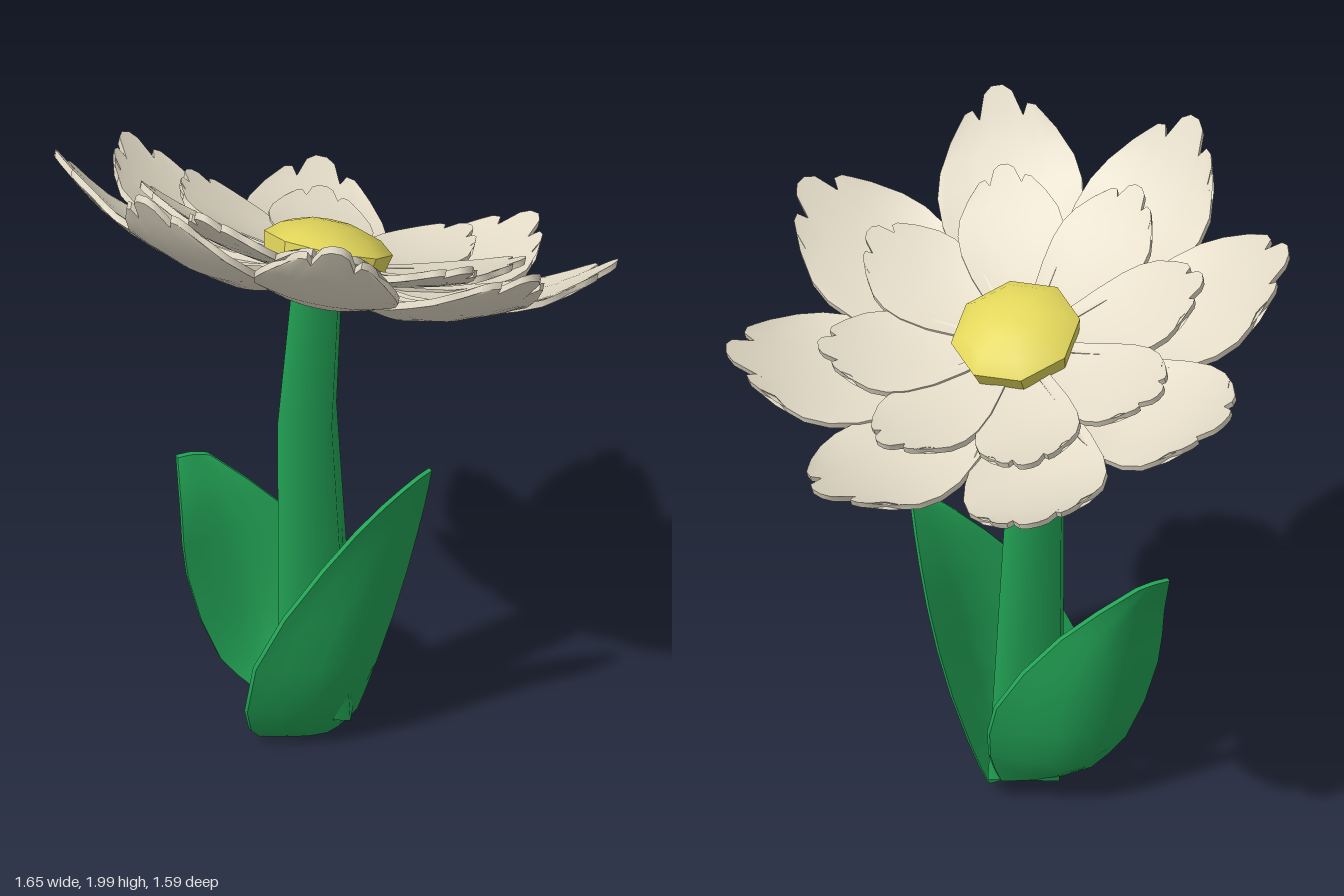
import * as THREE from 'three';
import { toCreasedNormals } from 'three/addons/utils/BufferGeometryUtils.js';

const petalMat = new THREE.MeshStandardMaterial({ color: 0xe3dbc7 });
petalMat.name = 'cream petal';
const yellowMat = new THREE.MeshStandardMaterial({ color: 0xe2d65a });
yellowMat.name = 'yellow centre';
const greenMat = new THREE.MeshStandardMaterial({ color: 0x22a355 });
greenMat.name = 'leaf green';

// Closed thin slab: a grid of face points plus the same grid moved back by an offset
function slab(grid, offset) {
  const rows = grid.length, cols = grid[0].length, n = rows * cols;
  const face = grid.flat();
  const pos = [...face, ...face.map(p => p.clone().add(offset))].flatMap(p => [p.x, p.y, p.z]);
  const id = (i, j) => i * cols + j;
  const index = [];
  for (let i = 0; i < rows - 1; i++) {
    for (let j = 0; j < cols - 1; j++) {
      const a = id(i, j), b = id(i, j + 1), c = id(i + 1, j), d = id(i + 1, j + 1);
      index.push(a, b, d, a, d, c, a + n, d + n, b + n, a + n, c + n, d + n);
    }
  }
  // rim around the boundary
  const rim = [];
  for (let j = 0; j < cols - 1; j++) rim.push(id(0, j));
  for (let i = 0; i < rows - 1; i++) rim.push(id(i, cols - 1));
  for (let j = cols - 1; j > 0; j--) rim.push(id(rows - 1, j));
  for (let i = rows - 1; i > 0; i--) rim.push(id(i, 0));
  rim.forEach((p, k) => {
    const q = rim[(k + 1) % rim.length];
    index.push(p, p + n, q + n, p, q + n, q);
  });
  const g = new THREE.BufferGeometry();
  g.setAttribute('position', new THREE.Float32BufferAttribute(pos, 3));
  g.setIndex(index);
  return toCreasedNormals(g, 0.8);
}

// Petal along +x with a scalloped tip; profile(t) gives its height
const ROW_T = [0, 0.15, 0.3, 0.45, 0.6, 0.72, 0.84, 0.93, 1];
const ROW_W = [0.03, 0.075, 0.125, 0.175, 0.208, 0.215, 0.2, 0.175, 0.14];
const COL_V = [-1, -0.9, -0.75, -0.58, -0.46, -0.3, -0.12, 0.12, 0.3, 0.46, 0.58, 0.75, 0.9, 1];
const COL_L = [0.85, 0.9, 0.93, 0.94, 0.91, 0.98, 1, 1, 0.98, 0.91, 0.94, 0.93, 0.9, 0.85];

function petalGeometry(length, widthScale, cup, profile) {
  const grid = ROW_T.map((t, i) => COL_V.map((v, j) => {
    const s = t - t ** 4 * (1 - COL_L[j]);
    const y = profile(s) + cup * v * v * Math.sin(Math.PI * Math.min(t, 0.85));
    return new THREE.Vector3(length * s, y, ROW_W[i] * widthScale * v);
  }));
  return slab(grid, new THREE.Vector3(0, -0.022, 0));
}

// Leaf from rows of [left edge, middle, right edge], curved across
function leafGeometry(rows, offset) {
  const curves = [0, 1, 2].map(k =>
    new THREE.CatmullRomCurve3(rows.map(r => new THREE.Vector3(...r[k]))));
  const grid = [];
  for (let i = 0; i <= 8; i++) {
    const [l, m, r] = curves.map(c => c.getPoint(i / 8));
    const across = new THREE.CatmullRomCurve3([l, m, r]);
    grid.push(across.getPoints(6));
  }
  return slab(grid, new THREE.Vector3(...offset));
}

function add(parent, name, geometry, material) {
  const mesh = new THREE.Mesh(geometry, material);
  mesh.name = name;
  parent.add(mesh);
  return mesh;
}

export function createModel() {
  const model = new THREE.Group();
  model.name = 'flower';

  // Stem: smooth-shaded square tube through [x, y, z, half side] rings, top to bottom
  const rings = [[-0.05, 1.54, 0.1, 0.068], [-0.08, 1.06, 0.137, 0.08], [-0.052, 0.08, 0.095, 0.105]];
  const stem = new THREE.CylinderGeometry(Math.SQRT2, Math.SQRT2, 2, 4, 2, false, Math.PI / 4);
  const sp = stem.attributes.position;
  for (let i = 0; i < sp.count; i++) {
    const [x, y, z, half] = rings[Math.round(1 - sp.getY(i))];
    sp.setXYZ(i, x + sp.getX(i) * half, y, z + sp.getZ(i) * half);
  }
  add(model, 'stem', stem, greenMat);

  // Leaves wrapping the stem
  add(model, 'frontLeaf', leafGeometry([
    [[-0.21, 0.025, 0.22], [-0.02, 0.01, 0.15], [0.06, 0.04, 0.05]],
    [[-0.24, 0.1, 0.29], [0, 0.1, 0.225], [0.095, 0.13, 0.035]],
    [[-0.2, 0.35, 0.36], [0.06, 0.33, 0.265], [0.175, 0.38, 0.02]],
    [[-0.03, 0.62, 0.345], [0.135, 0.6, 0.24], [0.23, 0.6, 0.045]],
    [[0.12, 0.79, 0.285], [0.21, 0.8, 0.215], [0.268, 0.78, 0.11]],
    [[0.22, 0.88, 0.25], [0.262, 0.9, 0.207], [0.29, 0.905, 0.17]],
  ], [-0.01, 0, -0.017]), greenMat);
  add(model, 'backLeaf', leafGeometry([
    [[-0.24, 0.1, 0.06], [-0.12, 0.08, 0.02], [0.02, 0.08, 0]],
    [[-0.34, 0.2, 0.07], [-0.2, 0.17, -0.045], [0.05, 0.19, -0.045]],
    [[-0.435, 0.46, 0.065], [-0.26, 0.43, -0.08], [0.03, 0.38, -0.095]],
    [[-0.455, 0.65, 0.04], [-0.33, 0.65, -0.075], [-0.16, 0.62, -0.095]],
    [[-0.475, 0.8, -0.04], [-0.43, 0.8, -0.065], [-0.385, 0.79, -0.085]],
  ], [-0.008, 0, -0.018]), greenMat);

  // Tilted flower head
  const head = new THREE.Group();
  head.name = 'flowerHead';
  head.position.set(-0.04, 1.5, 0.07);
  head.quaternion.setFromUnitVectors(new THREE.Vector3(0, 1, 0),
    new THREE.Vector3(0.185, 1, -0.37).normalize());
  model.add(head);

  // Two rings of eight petals, a few of them turned slightly
  const outer = petalGeometry(0.84, 1, 0.035, t => 0.03 - 0.4 * t + 0.575 * t * t);
  const inner = petalGeometry(0.575, 0.73, 0.012, t => 0.04 - 0.1 * t + 0.22 * t * t);
  const turn = [0, 0, 0, 0.02, 0.06, 0.06, 0.05, 0];
  for (let i = 0; i < 8; i++) {
    const angle = -i * Math.PI / 4 + 0.06 + turn[i];
    for (const [name, geometry] of [['outerPetal', outer], ['innerPetal', inner]]) {
      const petal = add(head, name, geometry, petalMat);
      petal.rotation.set(0.015, angle, 0, 'YXZ');
    }
  }

  // Eight-sided domed centre
  const profile = [[0, 0], [0.08, 0], [0.18, 0.03], [0.193, 0.085], [0.15, 0.12], [0.08, 0.143], [0, 0.15]]
    .map(p => new THREE.Vector2(...p));
  const centre = add(head, 'flowerCentre',
    toCreasedNormals(new THREE.LatheGeometry(profile, 8), 0.75), yellowMat);
  centre.rotation.y = 0.1;

  return model;
}
